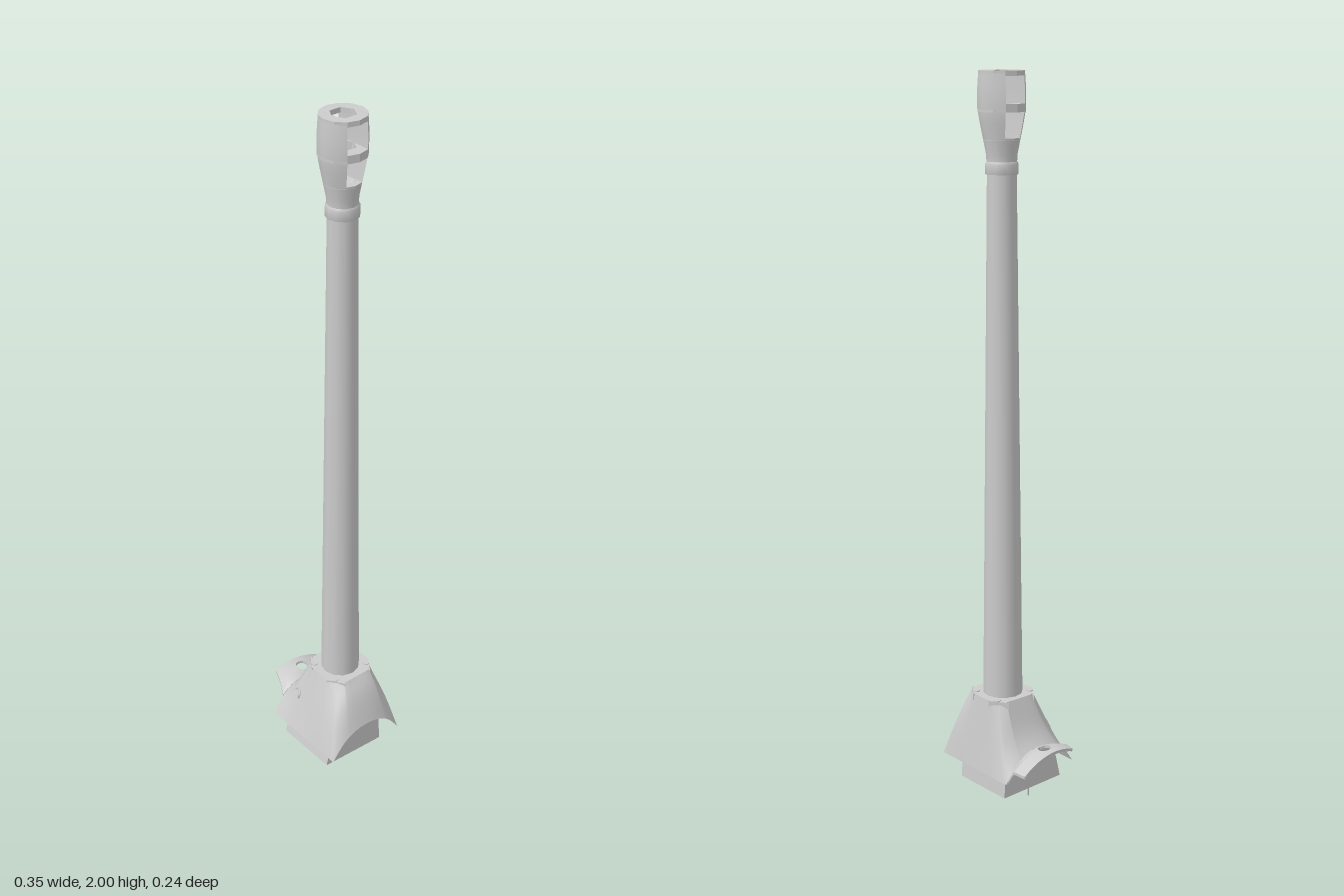
import * as THREE from 'three';

const mat = new THREE.MeshStandardMaterial({ color: 0xcccccc, side: THREE.DoubleSide });
const AX = 0.032, AZ = -0.02; // barrel axis
const lerp = THREE.MathUtils.lerp;

// Surface patch from a rule fn(u, v) -> [x, y, z]
function patch(nu, nv, fn) {
  const pos = [], idx = [];
  for (let j = 0; j <= nv; j++) for (let i = 0; i <= nu; i++) pos.push(...fn(i / nu, j / nv));
  for (let j = 0; j < nv; j++) for (let i = 0; i < nu; i++) {
    const a = j * (nu + 1) + i, b = a + 1, c = a + nu + 1, d = c + 1;
    idx.push(a, c, b, b, c, d);
  }
  const g = new THREE.BufferGeometry();
  g.setAttribute('position', new THREE.Float32BufferAttribute(pos, 3));
  g.setIndex(idx);
  g.computeVertexNormals();
  return g;
}

// Point along a closed polygon, every edge taking an equal share of u
function along(pts, u) {
  const s = u * pts.length, i = Math.floor(s + 1e-9), f = Math.max(0, s - i);
  const a = pts[i % pts.length], b = pts[(i + 1) % pts.length];
  return [lerp(a[0], b[0], f), lerp(a[1], b[1], f)];
}

function add(parent, name, geo) {
  const m = new THREE.Mesh(geo, mat);
  m.name = name;
  parent.add(m);
  return m;
}

function lathe(parent, name, profile, sides = 12) {
  const m = add(parent, name, new THREE.LatheGeometry(profile.map(p => new THREE.Vector2(p[0], p[1])), sides));
  m.position.set(AX, 0, AZ);
  return m;
}

// Arched height of the mantlet rim
const arch = z => 0.193 - 0.08 * Math.pow(Math.abs(z) / 0.122, 2.5);

function muzzleBrake(root) {
  const g = new THREE.Group();
  g.name = 'muzzleBrake';
  root.add(g);
  lathe(g, 'brakeCollar', [[0.038, 1.74], [0.044, 1.74], [0.044, 1.765], [0.040, 1.772]]);
  lathe(g, 'brakeNeck', [[0.040, 1.772], [0.041, 1.79], [0.049, 1.83]]);
  lathe(g, 'bore', [[0, 1.78], [0.034, 1.83]], 6);

  // rings around the hexagonal bore: base, middle baffle and mouth
  for (const [y0, y1, r0, r1] of [[1.826, 1.832, 0.048, 0.049], [1.897, 1.918, 0.0625, 0.063], [1.987, 2, 0.061, 0.06]]) {
    const ring = new THREE.Shape();
    for (let i = 0; i < 12; i++) ring[i ? 'lineTo' : 'moveTo'](Math.sin(i * Math.PI / 6), Math.cos(i * Math.PI / 6));
    const hole = new THREE.Path(), hr = 0.034 / r1;
    for (let i = 0; i < 6; i++) hole[i ? 'lineTo' : 'moveTo'](hr * Math.sin(i * Math.PI / 3), hr * Math.cos(i * Math.PI / 3));
    ring.holes.push(hole);
    const geo = new THREE.ExtrudeGeometry(ring, { depth: y1 - y0, bevelEnabled: false });
    geo.rotateX(-Math.PI / 2);
    geo.scale((r0 + r1) / 2, 1, (r0 + r1) / 2);
    add(g, 'baffle', geo).position.set(AX, y0, AZ);
  }

  // side cheeks, leaving ports open to the left and right
  const prof = [[0.049, 1.83], [0.057, 1.87], [0.063, 1.905], [0.063, 1.955], [0.06, 2]];
  for (const s of [1, -1]) {
    const at = (k, u, v) => {
      const [r, y] = prof[Math.round(v * 4)], a = Math.PI * (1 / 6 + u * 2 / 3);
      return [AX + r * Math.cos(a), y, AZ + s * r * (k ? 0.5 : Math.sin(a))];
    };
    add(g, 'cheekOuter', patch(4, 4, (u, v) => at(0, u, v)));
    add(g, 'cheekInner', patch(4, 4, (u, v) => at(1, u, v)));
  }
}

function mantlet(root) {
  const g = new THREE.Group();
  g.name = 'mantlet';
  root.add(g);
  // matching top and rim outlines as [x, z]
  const top = [[-0.04, -0.066], [-0.022, -0.08], [0, -0.095], [0.065, -0.095], [0.088, -0.08], [0.106, -0.066],
    [0.106, 0.022], [0.088, 0.04], [0.065, 0.055], [0, 0.055], [-0.022, 0.04], [-0.04, 0.022]];
  const rim = [[-0.105, -0.07], [-0.105, -0.122], [-0.035, -0.122], [0.1, -0.122], [0.173, -0.122], [0.173, -0.07],
    [0.173, 0.06], [0.172, 0.121], [0.1, 0.121], [-0.035, 0.121], [-0.1, 0.121], [-0.105, 0.06]];
  add(g, 'shield', patch(72, 10, (u, v) => {
    const a = along(top, u), b = along(rim, u);
    const x = lerp(a[0], b[0], v), z = lerp(a[1], b[1], v);
    const side = THREE.MathUtils.clamp((x - AX) / 0.1, -1, 1);
    return [x, lerp(0.318, arch(b[1]), v) + 0.016 * side * Math.sin(Math.PI * v), z];
  }));
  add(g, 'topPlate', patch(72, 1, (u, v) => {
    const a = along(top, u);
    return [lerp(AX, a[0], v), 0.318, lerp(AZ, a[1], v)];
  }));

  // side ear with its sight hole
  const hole = [], ear = [[-0.105, -0.013], [-0.105, 0.085], [-0.137, 0.071], [-0.175, 0.055],
    [-0.175, -0.013], [-0.175, -0.115], [-0.137, -0.116], [-0.105, -0.117]];
  for (let i = 0; i < 8; i++) hole.push([-0.137 + 0.019 * Math.cos(i * Math.PI / 4), -0.013 + 0.019 * Math.sin(i * Math.PI / 4)]);
  for (const drop of [0, 0.008]) add(g, 'ear', patch(48, 4, (u, v) => {
    const a = along(hole, u), b = along(ear, u);
    const x = lerp(a[0], b[0], v), z = lerp(a[1], b[1], v);
    return [x, lerp(0.203 - 3.2 * z * z, arch(z), Math.max(0, (x + 0.13) / 0.025)) - drop, z];
  }));
  for (const outline of [hole, ear]) add(g, 'earEdge', patch(48, 1, (u, v) => {
    const [x, z] = along(outline, u);
    return [x, lerp(0.203 - 3.2 * z * z, arch(z), Math.max(0, (x + 0.13) / 0.025)) - 0.008 * v, z];
  }));

  // corner brackets, each with a bolt
  for (const sx of [1, -1]) for (const sz of [1, -1]) {
    const tri = new THREE.Shape([[0.033, 0.078], [0.033, 0.057], [0.081, 0.045]].map(p => new THREE.Vector2(sx * p[0], -sz * p[1])));
    const geo = new THREE.ExtrudeGeometry(tri, { depth: 0.018, bevelEnabled: false });
    geo.rotateX(-Math.PI / 2);
    add(g, 'cornerBracket', geo).position.set(AX, 0.3, AZ);
    add(g, 'bolt', new THREE.CylinderGeometry(0.01, 0.01, 0.022, 8)).position.set(AX + sx * 0.046, 0.309, AZ + sz * 0.058);
  }

  // lifting hooks on the front face
  for (const s of [1, -1]) {
    const hook = add(g, 'liftingHook', new THREE.TorusGeometry(0.014, 0.005, 5, 8, Math.PI * 1.2));
    hook.position.set(0.037 + s * 0.077, 0.212, 0.08);
    hook.rotation.set(-0.4, s * 0.35, s * 0.6);
  }
}

function cradle(root) {
  const g = new THREE.Group();
  g.name = 'cradle';
  root.add(g);
  const x0 = -0.065, x1 = 0.125;
  // side outline as [z, y]: front wall, arched roof, back wall
  const outline = [[0.107, 0.06], [0.09, 0.13], [0.075, 0.165], [0.04, 0.183], [0, 0.188], [-0.04, 0.183], [-0.075, 0.168], [-0.09, 0.13], [-0.095, 0.05]];
  for (let i = 0; i < outline.length - 1; i++) {
    const a = outline[i], b = outline[i + 1];
    add(g, 'cradleSkin', patch(1, 1, (u, v) => [lerp(x0, x1, u), lerp(a[1], b[1], v), lerp(a[0], b[0], v)]));
  }
  const shape = new THREE.Shape(outline.map(p => new THREE.Vector2(-p[0], p[1])));
  for (const x of [x0, x1]) {
    const geo = new THREE.ShapeGeometry(shape);
    geo.rotateY(Math.PI / 2);
    add(g, 'cradleSide', geo).position.x = x;
  }
  // thin guide strips hanging below
  for (const [x, y] of [[-0.012, 0], [0.078, 0.018]])
    add(g, 'guideStrip', new THREE.BoxGeometry(0.003, 0.18 - y, 0.004)).position.set(x, (0.18 + y) / 2, 0.035);
}

export function createModel() {
  const root = new THREE.Group();
  root.name = 'gunAssembly';
  lathe(root, 'barrel', [[0.056, 0.26], [0.055, 0.32], [0.039, 1.745]]);
  muzzleBrake(root);
  mantlet(root);
  cradle(root);
  return root;
}
